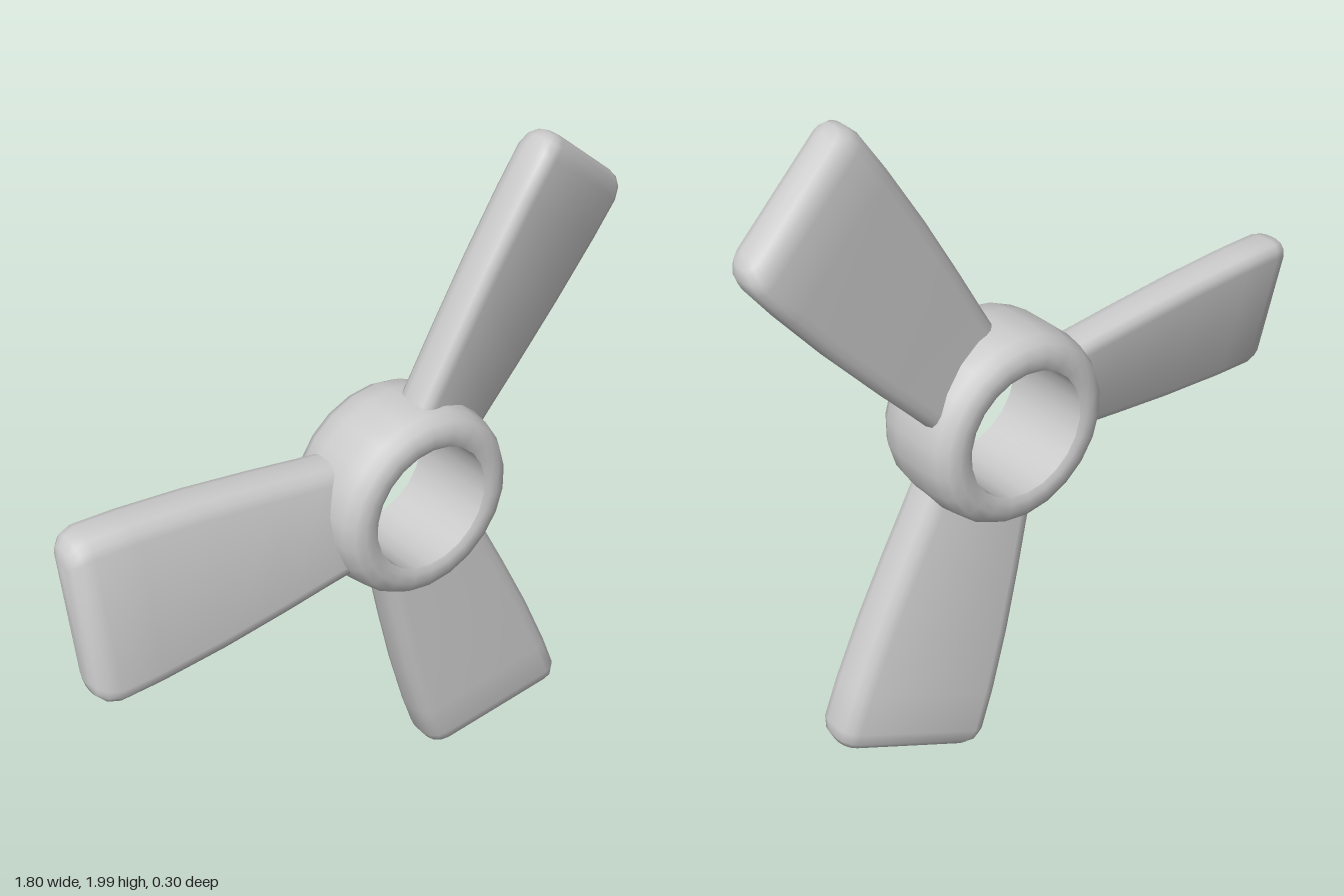
import * as THREE from 'three';
import { toCreasedNormals } from 'three/addons/utils/BufferGeometryUtils.js';

const material = new THREE.MeshStandardMaterial({ color: 0xcccccc });
const PITCH = 0.21; // z gained per unit of blade width

// Rounded rectangle, counter-clockwise, in (width, thickness)
function section(halfWidth, halfThick, radius, steps = 3) {
  const pts = [];
  for (let c = 0; c < 4; c++) {
    const sx = c === 0 || c === 3 ? 1 : -1;
    const sy = c < 2 ? 1 : -1;
    for (let i = 0; i <= steps; i++) {
      const a = (c + i / steps) * Math.PI / 2;
      pts.push([
        sx * (halfWidth - radius) + radius * Math.cos(a),
        sy * (halfThick - radius) + radius * Math.sin(a),
      ]);
    }
  }
  return pts;
}

// Blade lofted along +x, skewed so one edge leans forward
function bladeGeometry(length) {
  // distance from the hub axis, half width, half thickness, corner radius
  const stations = [
    [0.215, 0.160, 0.066, 0.045],
    [0.30, 0.170, 0.066, 0.045],
    [0.45, 0.189, 0.067, 0.045],
    [0.65, 0.211, 0.068, 0.045],
    [0.85, 0.225, 0.069, 0.045],
    [length - 0.065, 0.228, 0.069, 0.045],
    [length - 0.03, 0.220, 0.062, 0.045],
    [length - 0.008, 0.200, 0.044, 0.035],
    [length, 0.172, 0.022, 0.018],
  ];
  const pos = [], idx = [];
  let n = 0;
  for (const [r, hw, ht, rad] of stations) {
    const pts = section(hw, ht, rad);
    n = pts.length;
    for (const [w, t] of pts) pos.push(r, w, t + w * PITCH);
  }
  // Walls
  for (let s = 0; s < stations.length - 1; s++) {
    for (let i = 0; i < n; i++) {
      const a = s * n + i, b = s * n + (i + 1) % n;
      idx.push(a, b, a + n, b, b + n, a + n);
    }
  }
  // End caps
  const last = (stations.length - 1) * n;
  for (let i = 1; i < n - 1; i++) {
    idx.push(0, i + 1, i);
    idx.push(last, last + i, last + i + 1);
  }
  const g = new THREE.BufferGeometry();
  g.setAttribute('position', new THREE.Float32BufferAttribute(pos, 3));
  g.setIndex(idx);
  return toCreasedNormals(g, 0.9);
}

export function createModel() {
  const model = new THREE.Group();
  model.name = 'propeller';
  const rotor = new THREE.Group();
  rotor.name = 'rotor';
  rotor.position.set(0.14, 1.045, 0);
  model.add(rotor);

  // Hub ring with rounded outer edges and a straight bore
  const half = [[0.188, 0.142], [0.205, 0.15], [0.232, 0.15], [0.262, 0.138], [0.279, 0.108], [0.288, 0.05]];
  const profile = [
    ...half.map(([r, z]) => new THREE.Vector2(r, -z)),
    ...half.slice().reverse().map(([r, z]) => new THREE.Vector2(r, z)),
    new THREE.Vector2(0.188, -0.142),
  ];
  const hubGeometry = toCreasedNormals(new THREE.LatheGeometry(profile, 22).rotateX(Math.PI / 2), 0.7);
  const hub = new THREE.Mesh(hubGeometry, material);
  hub.name = 'hub';
  rotor.add(hub);

  // Three pitched blades: angle in degrees and tip radius
  const blades = [['rightBlade', 180, 1.04], ['upperLeftBlade', 54.5, 1.035], ['lowerLeftBlade', -69.5, 1.04]];
  for (const [name, angle, length] of blades) {
    const blade = new THREE.Mesh(bladeGeometry(length), material);
    blade.name = name;
    blade.rotation.z = THREE.MathUtils.degToRad(angle);
    rotor.add(blade);
  }
  return model;
}
